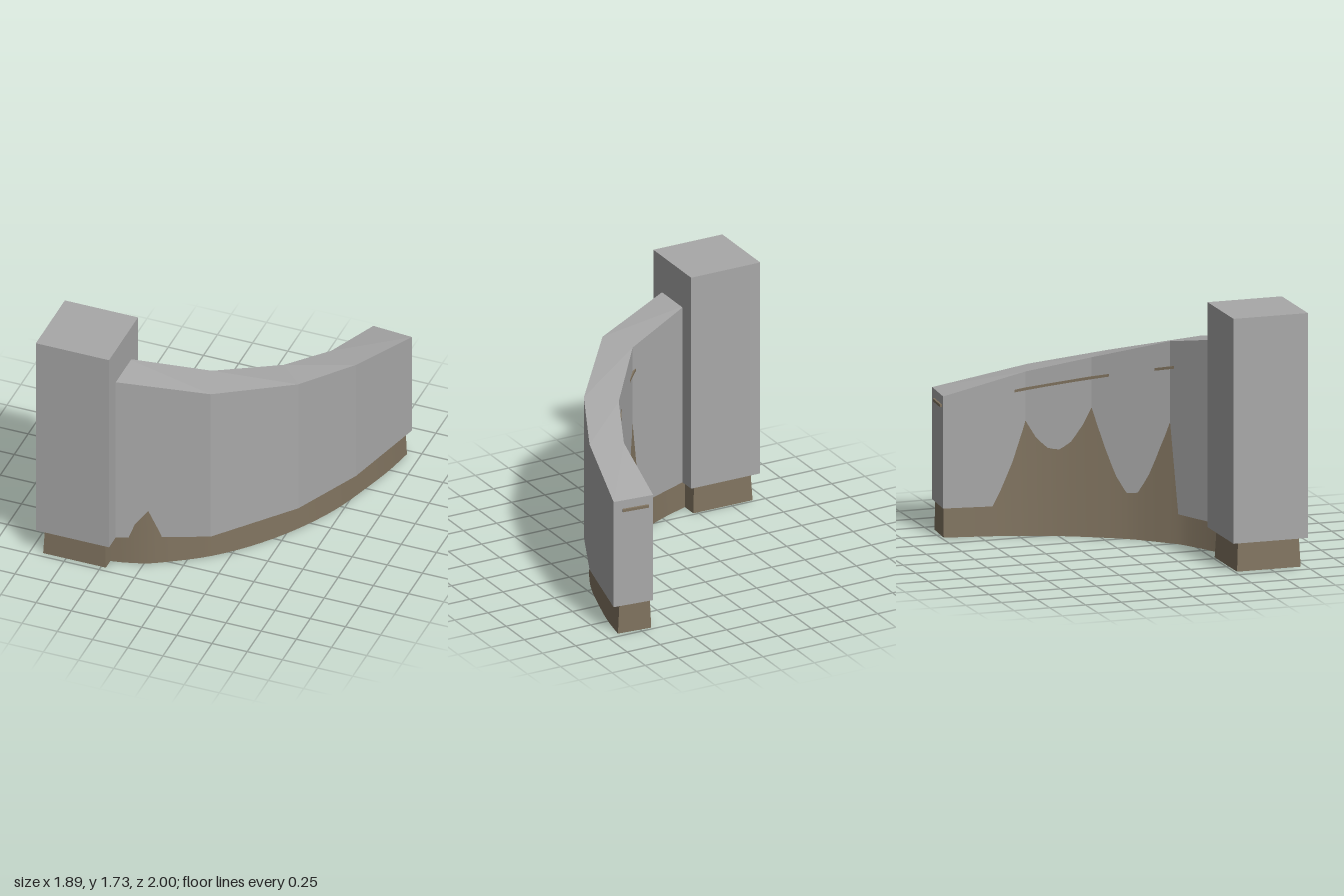
import * as THREE from 'three';
import { mergeVertices } from 'three/addons/utils/BufferGeometryUtils.js';

const stone = new THREE.MeshStandardMaterial({ color: 0xa8a8a8 });
stone.name = 'grey stone';
const earth = new THREE.MeshStandardMaterial({ color: 0x80735f, side: THREE.DoubleSide });
earth.name = 'brown core';

// Skin four-cornered sections (inner low, inner top, outer top, outer low).
// Each side is its own strip, so corners between sides stay sharp.
function loft(sections, { sides = [0, 1, 2, 3], startCap = true, smooth = false }) {
  const pos = [];
  const quad = (a, b, c, d) => [a, b, c, a, c, d].forEach((p) => pos.push(...p));
  const finish = (list) => {
    let g = new THREE.BufferGeometry();
    g.setAttribute('position', new THREE.Float32BufferAttribute(list, 3));
    if (smooth) g = mergeVertices(g, 1e-5);
    g.computeVertexNormals();
    return g;
  };
  const parts = [];
  for (const k of sides) {
    for (let i = 0; i < sections.length - 1; i++) {
      const s = sections[i], t = sections[i + 1], n = (k + 1) % 4;
      quad(s[k], s[n], t[n], t[k]);
    }
    parts.push(finish(pos.splice(0)));
  }
  quad(...sections[sections.length - 1]);
  parts.push(finish(pos.splice(0)));
  if (startCap) {
    quad(...[...sections[0]].reverse());
    parts.push(finish(pos.splice(0)));
  }
  return parts;
}

function addLoft(group, name, parts, material) {
  const part = new THREE.Group();
  part.name = name;
  parts.forEach((g, i) => {
    const m = new THREE.Mesh(g, material);
    m.name = `${name} face ${i + 1}`;
    part.add(m);
  });
  group.add(part);
}

const plan = (points, n) => new THREE.CatmullRomCurve3(
  points.map(([x, z]) => new THREE.Vector3(x, 0, z))).getSpacedPoints(n);

export function createModel() {
  const model = new THREE.Group();
  model.name = 'curved wall with end post';

  // Faceted stone wall: inner x, z, outer x, z, top height
  const wall = [
    [-0.45, 0.608, -0.45, 0.888, 1.468],
    [0.06, 0.39, 0.15, 0.64, 1.36],
    [0.4, -0.04, 0.57, 0.13, 1.21],
    [0.58, -0.44, 0.79, -0.35, 1.105],
    [0.66, -0.988, 0.945, -0.965, 0.96],
  ].map(([ix, iz, ox, oz, h]) => [[ix, 0.2, iz], [ix, h, iz], [ox, h, oz], [ox, 0.2, oz]]);
  addLoft(model, 'stone wall', loft(wall, {}), stone);

  // Square post with a tapered, open-bottomed plinth
  const post = new THREE.Mesh(new THREE.BoxGeometry(0.52, 1.525, 0.52), stone);
  post.name = 'post';
  post.position.set(-0.69, 0.9625, 0.74);
  model.add(post);
  const coreGeo = new THREE.CylinderGeometry(0.15 * Math.SQRT2, 0.223 * Math.SQRT2, 1.45, 4, 1, true)
    .rotateY(Math.PI / 4).toNonIndexed();
  coreGeo.computeVertexNormals();
  const core = new THREE.Mesh(coreGeo, earth);
  core.name = 'post core';
  core.position.set(-0.69, 0.725, 0.74);
  model.add(core);

  // Smoothly curved core, narrowing upwards and breaking through the facets
  const N = 28;
  const inner = plan([[-0.5, 0.645], [-0.25, 0.545], [-0.02, 0.415], [0.035, 0.36], [0.219, 0.166],
    [0.363, -0.061], [0.464, -0.252], [0.544, -0.453], [0.602, -0.66], [0.67, -0.98]], N);
  const outer = plan([[-0.48, 0.885], [-0.36, 0.861], [-0.253, 0.827], [-0.192, 0.803], [-0.146, 0.773],
    [0.1, 0.61], [0.32, 0.4], [0.53, 0.12], [0.7, -0.2], [0.8, -0.5], [0.87, -0.75], [0.91, -0.96]], N);
  const toward = (a, b, d, y) => {
    const v = b.clone().sub(a).setLength(d).add(a);
    return [v.x, y, v.z];
  };
  const lipHeight = (t) => 0.88 + 0.42 * (1 - t) ** 1.05;

  const coreSections = inner.map((p, i) => {
    const q = outer[i], h = lipHeight(i / N);
    return [toward(p, q, 0, 0), toward(p, q, 0.05 * h, h), toward(q, p, 0.05 * h, h), toward(q, p, 0, 0)];
  });
  addLoft(model, 'wall core', loft(coreSections, { sides: [0, 1, 2], startCap: false, smooth: true }), earth);

  // Thin lip around the top of the core
  const lipSections = inner.map((p, i) => {
    const q = outer[i], h = lipHeight(i / N), d = 0.027;
    const s = [toward(p, q, d, h), toward(p, q, d, h + 0.018), toward(q, p, d, h + 0.018), toward(q, p, d, h)];
    if (i === N) s.forEach((c) => { c[2] -= 0.02; });
    return s;
  });
  addLoft(model, 'core lip', loft(lipSections, { smooth: true }), earth);

  return model;
}
